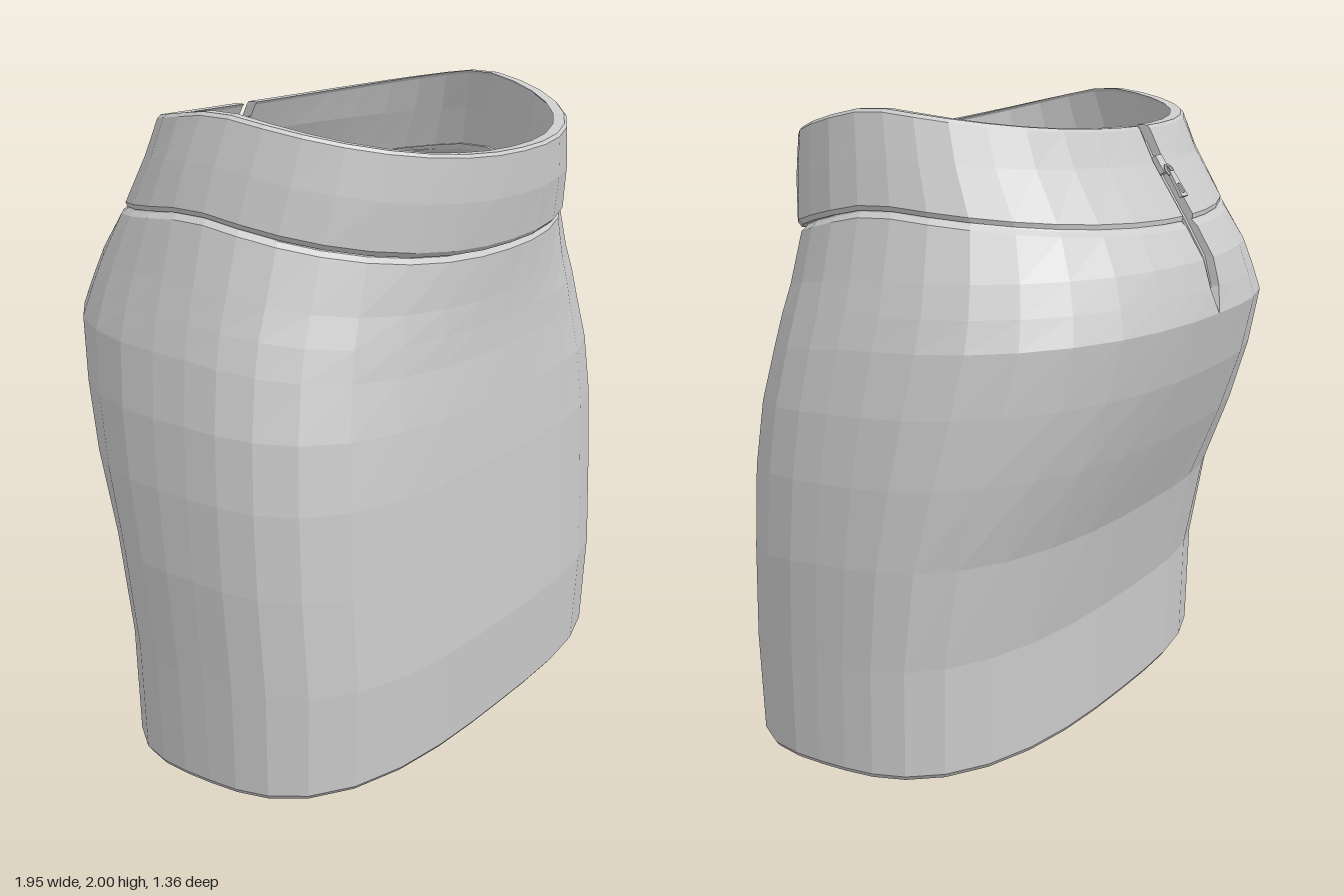
import * as THREE from 'three';

const COLS = 34;
const mat = new THREE.MeshStandardMaterial({ color: 0xcccccc, flatShading: true, side: THREE.DoubleSide });

// One horizontal level: heights at front/side/back, half width, front z, back z,
// centre z, roundness exponents front/back, half width of the back opening.
const lv = (yf, ys, yb, x, zf, zb, zc, nf, nb, gap = 0) => ({ yf, ys, yb, x, zf, zb, zc, nf, nb, gap });

// Point on a level at column j, moved inward by t
function ringPoint(l, j, t) {
  const a = (j / COLS) * Math.PI * 2;
  const s = Math.sin(a), c = -Math.cos(a);
  const n = c > 0 ? l.nf : l.nb;
  const r = Math.pow(Math.abs(s) ** n + Math.abs(c) ** n, -1 / n);
  const u = r * c, k = Math.abs(u) ** 1.25;
  let x = r * s * (l.x - t);
  if (j === 0) x = l.gap;
  if (j === COLS) x = -l.gap;
  const y = l.ys + ((u > 0 ? l.yf : l.yb) - l.ys) * k;
  const z = l.zc + u * (u > 0 ? l.zf - t - l.zc : l.zc - l.zb - t);
  return [x, y, z];
}

// Closed double-walled shell, open along the back centre line
function shell(name, levels, thickness) {
  const n = levels.length, rows = 2 * n, pos = [], idx = [];
  for (let i = 0; i < rows; i++) {
    const outer = i < n, l = levels[outer ? i : rows - 1 - i];
    for (let j = 0; j <= COLS; j++) pos.push(...ringPoint(l, j, outer ? 0 : thickness));
  }
  const p = (i, j) => (i % rows) * (COLS + 1) + j;
  for (let i = 0; i < rows; i++)
    for (let j = 0; j < COLS; j++)
      idx.push(p(i, j), p(i + 1, j), p(i, j + 1), p(i + 1, j), p(i + 1, j + 1), p(i, j + 1));
  // walls of the back opening
  for (let k = 0; k < n - 1; k++) {
    const q = (j) => [p(k, j), p(k + 1, j), p(rows - 1 - k, j), p(rows - 2 - k, j)];
    let [a, b, c, d] = q(0);
    idx.push(a, c, b, b, c, d);
    [a, b, c, d] = q(COLS);
    idx.push(a, b, c, b, d, c);
  }
  const g = new THREE.BufferGeometry();
  g.setAttribute('position', new THREE.Float32BufferAttribute(pos, 3));
  g.setIndex(idx);
  g.computeVertexNormals();
  const m = new THREE.Mesh(g, mat);
  m.name = name;
  return m;
}

// Strip following the back line; points are [z, y], depth goes inward
function backStrip(name, points, depth, x0, x1) {
  const s = new THREE.Shape();
  points.forEach(([z, y], i) => (i ? s.lineTo(z, y) : s.moveTo(z, y)));
  [...points].reverse().forEach(([z, y]) => s.lineTo(z + depth, y));
  const g = new THREE.ExtrudeGeometry(s, { depth: x1 - x0, bevelEnabled: false });
  g.rotateY(-Math.PI / 2);
  g.translate(x1, 0, 0);
  const m = new THREE.Mesh(g, mat);
  m.name = name;
  return m;
}

function part(parent, name, geometry, x, y, z) {
  const m = new THREE.Mesh(geometry, mat);
  m.name = name;
  m.position.set(x, y, z);
  parent.add(m);
  return m;
}

export function createModel() {
  const model = new THREE.Group();
  model.name = 'skirt';

  // Skirt body from hem to waist seam
  model.add(shell('skirtBody', [
    lv(0, 0, 0, 0.945, 0.65, -0.35, 0.15, 3.1, 2.8),
    lv(0.015, 0.015, 0.015, 0.955, 0.662, -0.36, 0.15, 3.1, 2.8),
    lv(0.33, 0.35, 0.37, 0.963, 0.68, -0.368, 0.14, 3.1, 2.8),
    lv(0.62, 0.67, 0.69, 0.974, 0.668, -0.44, 0.12, 3.1, 2.7),
    lv(0.89, 0.92, 0.95, 0.968, 0.66, -0.555, 0.1, 3.1, 2.6),
    lv(1.09, 1.13, 1.16, 0.95, 0.648, -0.635, 0.08, 3, 2.5),
    lv(1.24, 1.32, 1.35, 0.917, 0.635, -0.682, 0.06, 2.8, 2.5),
    lv(1.33, 1.42, 1.43, 0.89, 0.632, -0.665, 0.05, 2.7, 2.4, 0.032),
    lv(1.41, 1.52, 1.52, 0.862, 0.632, -0.64, 0.05, 2.5, 2.3, 0.036),
    lv(1.545, 1.695, 1.615, 0.815, 0.638, -0.582, 0.05, 2.3, 2.2, 0.036),
    lv(1.56, 1.71, 1.63, 0.798, 0.622, -0.565, 0.05, 2.3, 2.2, 0.036),
    lv(1.58, 1.73, 1.65, 0.79, 0.62, -0.55, 0.05, 2.3, 2.2, 0.036),
  ], 0.028));

  // Waistband with a narrow rolled lower edge
  model.add(shell('waistband', [
    lv(1.565, 1.715, 1.635, 0.806, 0.64, -0.565, 0.05, 2.3, 2.15, 0.036),
    lv(1.58, 1.73, 1.65, 0.813, 0.655, -0.566, 0.05, 2.3, 2.15, 0.036),
    lv(1.72, 1.86, 1.81, 0.785, 0.677, -0.462, 0.07, 2.25, 2.2, 0.036),
    lv(1.85, 1.99, 1.91, 0.753, 0.682, -0.412, 0.1, 2.2, 2.3, 0.034),
    lv(1.86, 2.0, 1.92, 0.742, 0.674, -0.404, 0.1, 2.2, 2.3, 0.034),
  ], 0.036));

  // Zip: two tapes in the opening with a raised edge on each
  const line = [[-0.672, 1.36], [-0.655, 1.43], [-0.63, 1.52], [-0.565, 1.63], [-0.45, 1.81], [-0.42, 1.87]];
  const inset = (d) => line.map(([z, y]) => [z + d, y]);
  for (const s of [-1, 1]) {
    const range = (a, b) => (s > 0 ? [a, b] : [-b, -a]);
    model.add(backStrip('zipTape', inset(0.018), 0.008, ...range(0.001, 0.042)));
    model.add(backStrip('zipTeeth', inset(0.01), 0.012, ...range(0.001, 0.01)));
  }

  // Zip slider with a hanging tab, lying along the slope of the waistband
  const pull = new THREE.Group();
  pull.name = 'zipPull';
  pull.position.set(0, 1.8, -0.466);
  pull.rotation.x = 0.57;
  part(pull, 'slider', new THREE.BoxGeometry(0.046, 0.06, 0.025), 0, 0, 0);
  part(pull, 'sliderLoop', new THREE.TorusGeometry(0.018, 0.006, 6, 10), 0, -0.03, -0.02);
  const tab = new THREE.Shape();
  [[-0.014, 0], [-0.022, -0.09], [0.022, -0.09], [0.014, 0]].forEach(([x, y], i) => (i ? tab.lineTo(x, y) : tab.moveTo(x, y)));
  const hole = new THREE.Path();
  [[-0.008, -0.045], [0.008, -0.045], [0.011, -0.078], [-0.011, -0.078]].forEach(([x, y], i) => (i ? hole.lineTo(x, y) : hole.moveTo(x, y)));
  tab.holes.push(hole);
  part(pull, 'tab', new THREE.ExtrudeGeometry(tab, { depth: 0.01, bevelEnabled: false }), 0, -0.035, -0.027);
  model.add(pull);

  return model;
}
